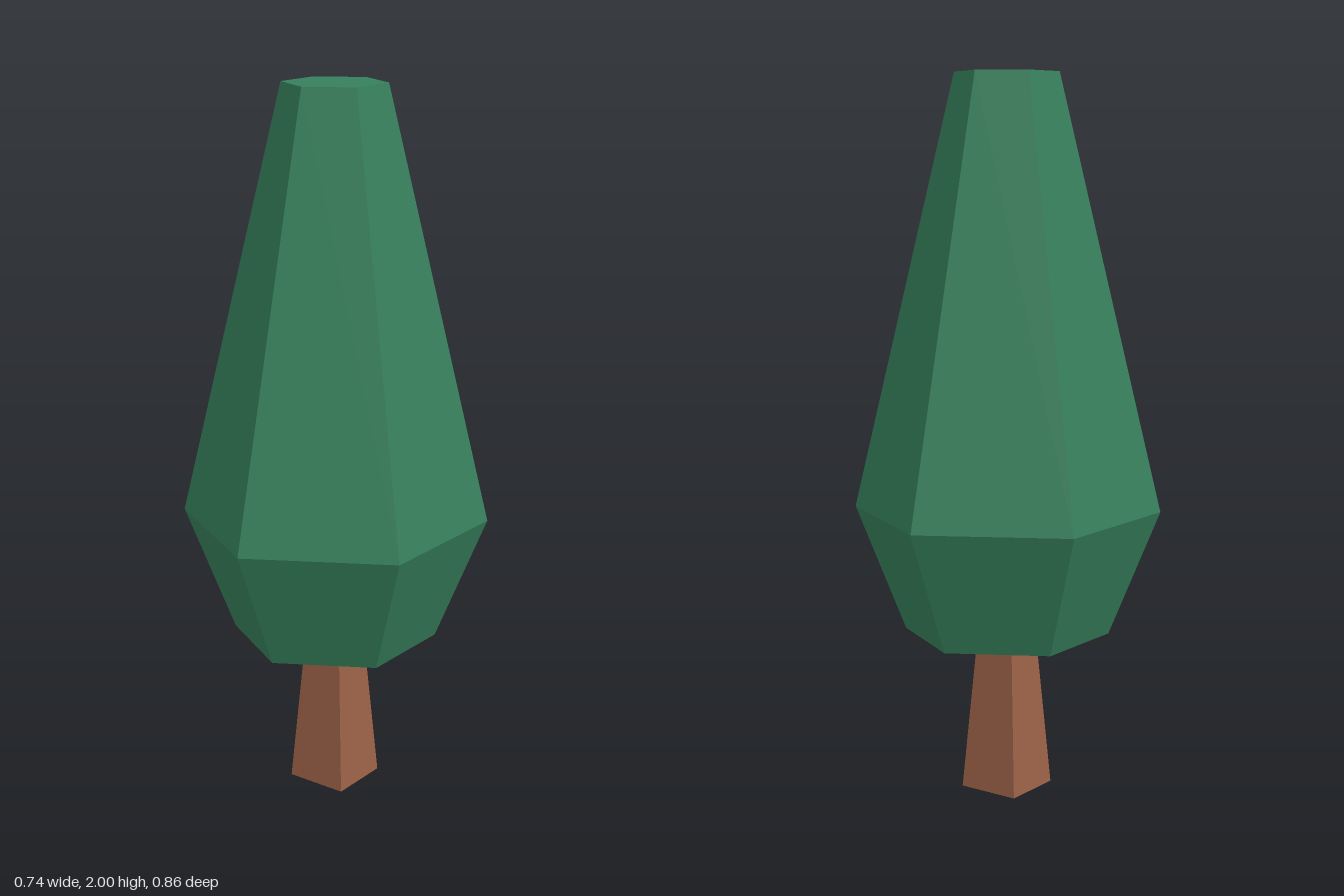
import * as THREE from 'three';

const SIDES = 6;

export function createModel() {
  const tree = new THREE.Group();
  tree.name = 'tree';

  const leafMaterial = new THREE.MeshStandardMaterial({ color: 0x36805c, flatShading: true });
  const barkMaterial = new THREE.MeshStandardMaterial({ color: 0x9c6248, flatShading: true });

  // Foliage: closed six-sided crown, widest low down, cut flat at the top
  const profile = [[0, 0.45], [0.287, 0.45], [0.428, 0.8], [0.143, 2], [0, 2]]
    .map(([r, y]) => new THREE.Vector2(r, y));
  const foliage = new THREE.Mesh(new THREE.LatheGeometry(profile, SIDES), leafMaterial);
  foliage.name = 'foliage';
  tree.add(foliage);

  // Trunk: square post tapering up to the underside of the crown
  const height = 0.45;
  const trunkGeometry = new THREE.CylinderGeometry(
    0.058 * Math.SQRT2, 0.09 * Math.SQRT2, height, 4, 1, false, Math.PI / 4);
  trunkGeometry.translate(0, height / 2, 0);
  const trunk = new THREE.Mesh(trunkGeometry, barkMaterial);
  trunk.name = 'trunk';
  tree.add(trunk);

  return tree;
}
